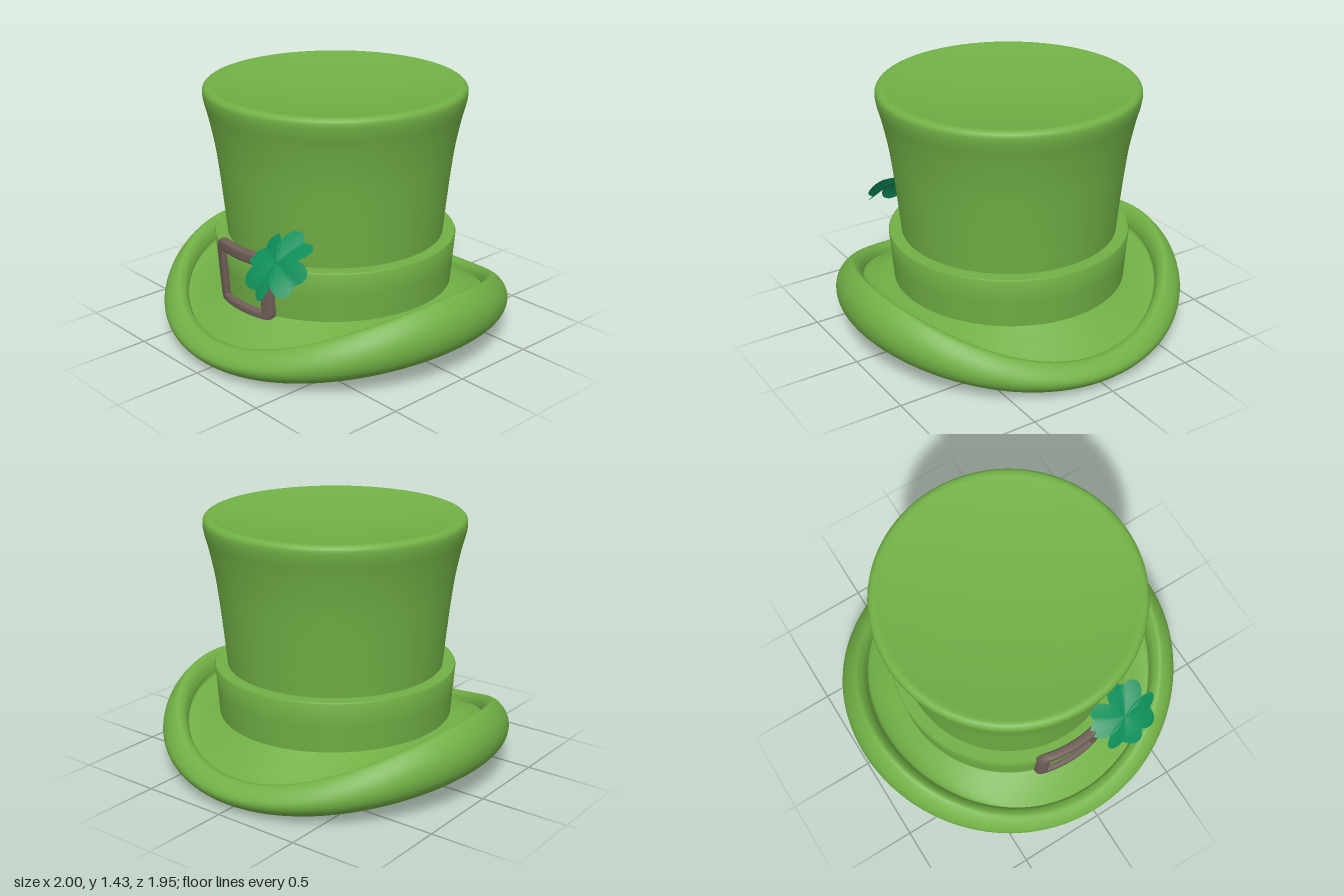
import * as THREE from 'three';
import { toCreasedNormals } from 'three/addons/utils/BufferGeometryUtils.js';

const mat = (name, color, extra = {}) => {
  const m = new THREE.MeshStandardMaterial({ color, ...extra });
  m.name = name;
  return m;
};

// Smooth curve through [x, y] pairs, sampled into n + 1 points
const smooth = (pairs, n) =>
  new THREE.SplineCurve(pairs.map(([x, y]) => new THREE.Vector2(x, y))).getPoints(n);

// Indexed surface from f(i, j); either direction may wrap round
function grid(nu, nv, wrapU, wrapV, f) {
  const pos = [], index = [];
  const cu = wrapU ? nu : nu + 1, cv = wrapV ? nv : nv + 1;
  for (let i = 0; i < cu; i++) for (let j = 0; j < cv; j++) pos.push(...f(i, j));
  const id = (i, j) => (i % cu) * cv + (j % cv);
  for (let i = 0; i < nu; i++) for (let j = 0; j < nv; j++) {
    index.push(id(i, j), id(i + 1, j), id(i, j + 1));
    index.push(id(i + 1, j), id(i + 1, j + 1), id(i, j + 1));
  }
  const g = new THREE.BufferGeometry();
  g.setAttribute('position', new THREE.Float32BufferAttribute(pos, 3));
  g.setIndex(index);
  g.computeVertexNormals();
  return g;
}

// Curled brim: low section at front and back blends into a raised one at the sides
function brimGeometry() {
  const front = smooth([[0.47, 0.02], [0.62, 0.008], [0.76, 0], [0.89, 0.012], [0.955, 0.05], [0.975, 0.095],
    [0.945, 0.14], [0.9, 0.165], [0.86, 0.155], [0.845, 0.135], [0.835, 0.145], [0.75, 0.22], [0.62, 0.32]], 60);
  const side = smooth([[0.47, 0.02], [0.6, 0.03], [0.72, 0.055], [0.88, 0.11], [0.97, 0.18], [1.0, 0.27],
    [0.98, 0.365], [0.91, 0.445], [0.865, 0.42], [0.842, 0.37], [0.83, 0.325], [0.75, 0.3], [0.62, 0.3]], 60);
  const n = 128;
  return grid(n, 60, true, false, (i, j) => {
    const a = (i / n) * Math.PI * 2, k = Math.sin(a) ** 2;
    const p = front[j].clone().lerp(side[j], k);
    return [p.x * Math.sin(a), p.y, p.x * Math.cos(a)];
  });
}

// Rounded square frame bent round the band
function buckleGeometry() {
  const hw = 0.183, hh = 0.167, r = 0.037, w = 0.034, depth = 0.026, cy = 0.442;
  const s = new THREE.Shape();
  s.moveTo(0, -hh);
  s.lineTo(hw - r, -hh);
  s.absarc(hw - r, r - hh, r, -Math.PI / 2, 0);
  s.absarc(hw - r, hh - r, r, 0, Math.PI / 2);
  s.absarc(r - hw, hh - r, r, Math.PI / 2, Math.PI);
  s.absarc(r - hw, r - hh, r, Math.PI, Math.PI * 1.5);
  s.lineTo(0, -hh);
  const n = 120, m = 20, path = s.getSpacedPoints(n);
  const soft = (v) => Math.sign(v) * Math.sqrt(Math.abs(v));
  return grid(n, m, true, true, (i, j) => {
    const p = path[i], a = (j / m) * Math.PI * 2;
    const core = new THREE.Vector2(
      THREE.MathUtils.clamp(p.x, r - hw, hw - r), THREE.MathUtils.clamp(p.y, r - hh, hh - r));
    const q = p.clone().sub(core).normalize().multiplyScalar(w * soft(Math.cos(a))).add(p);
    const radius = 0.677 + q.y * 0.07 + depth * soft(Math.sin(a));
    return [q.x, cy + q.y, Math.sqrt(radius * radius - q.x * q.x)];
  });
}

// Heart-shaped leaf, folded on its midrib and drooping at the end
function leafGeometry() {
  const V = (x, y) => new THREE.Vector2(x, y);
  const right = new THREE.CubicBezierCurve(V(0, 0.01), V(0.15, 0.06), V(0.135, 0.27), V(0, 0.175)).getPoints(16);
  const left = right.slice(0, -1).reverse().map((p) => V(-p.x, p.y));
  const edge = [...right, ...left];
  const rings = 8;
  return grid(edge.length - 1, rings, false, false, (i, j) => {
    const p = edge[i].clone().multiplyScalar(0.03 + 0.97 * (j / rings));
    return [p.x, p.y, 0.3 * Math.abs(p.x) - 1.1 * p.lengthSq()];
  });
}

export function createModel() {
  const felt = mat('hat green', 0x71b045);
  const brown = mat('buckle brown', 0x705f58);
  const leafGreen = mat('clover green', 0x0f8f5b, { side: THREE.DoubleSide });
  const hat = new THREE.Group();
  hat.name = 'topHat';
  const add = (name, geometry, material, parent = hat) => {
    const m = new THREE.Mesh(geometry, material);
    m.name = name;
    parent.add(m);
    return m;
  };

  add('brim', brimGeometry(), felt);

  // Flared crown with rounded shoulder and dished top
  const wall = smooth([[0.6, 0.5], [0.61, 0.6], [0.627, 0.78], [0.645, 0.95], [0.665, 1.1], [0.695, 1.25],
    [0.718, 1.34], [0.724, 1.395], [0.712, 1.42], [0.685, 1.428], [0.62, 1.417], [0.45, 1.394],
    [0.22, 1.377], [0, 1.372]], 70);
  wall[wall.length - 1].x = 0;
  add('crown', new THREE.LatheGeometry(wall, 96), felt);

  // Wide band with a flat top ledge
  const bandProfile = [[0.652, 0.2], [0.66, 0.3], [0.67, 0.44], [0.681, 0.572], [0.676, 0.581], [0.6, 0.581]]
    .map(([x, y]) => new THREE.Vector2(x, y));
  add('band', toCreasedNormals(new THREE.LatheGeometry(bandProfile, 96), 0.6), felt);

  // Inside of the hat, facing inward
  const liningProfile = [[0, 1.3], [0.48, 1.3], [0.47, 0.02]].map(([x, y]) => new THREE.Vector2(x, y));
  add('lining', toCreasedNormals(new THREE.LatheGeometry(liningProfile, 96), 0.6), felt);

  add('buckle', buckleGeometry(), brown);

  // Four-leaf clover tilted up and forward
  const clover = new THREE.Group();
  clover.name = 'clover';
  clover.position.set(0.325, 0.655, 0.705);
  clover.rotation.x = -Math.PI / 4;
  const leaf = leafGeometry();
  [69, 160, 250, 340].forEach((deg, i) => {
    add('leaf' + (i + 1), leaf, leafGreen, clover).rotation.z = THREE.MathUtils.degToRad(deg - 90);
  });
  hat.add(clover);

  const stem = new THREE.QuadraticBezierCurve3(
    new THREE.Vector3(0.325, 0.652, 0.702), new THREE.Vector3(0.29, 0.61, 0.67), new THREE.Vector3(0.24, 0.585, 0.6));
  add('stem', new THREE.TubeGeometry(stem, 12, 0.009, 8), leafGreen);

  return hat;
}
